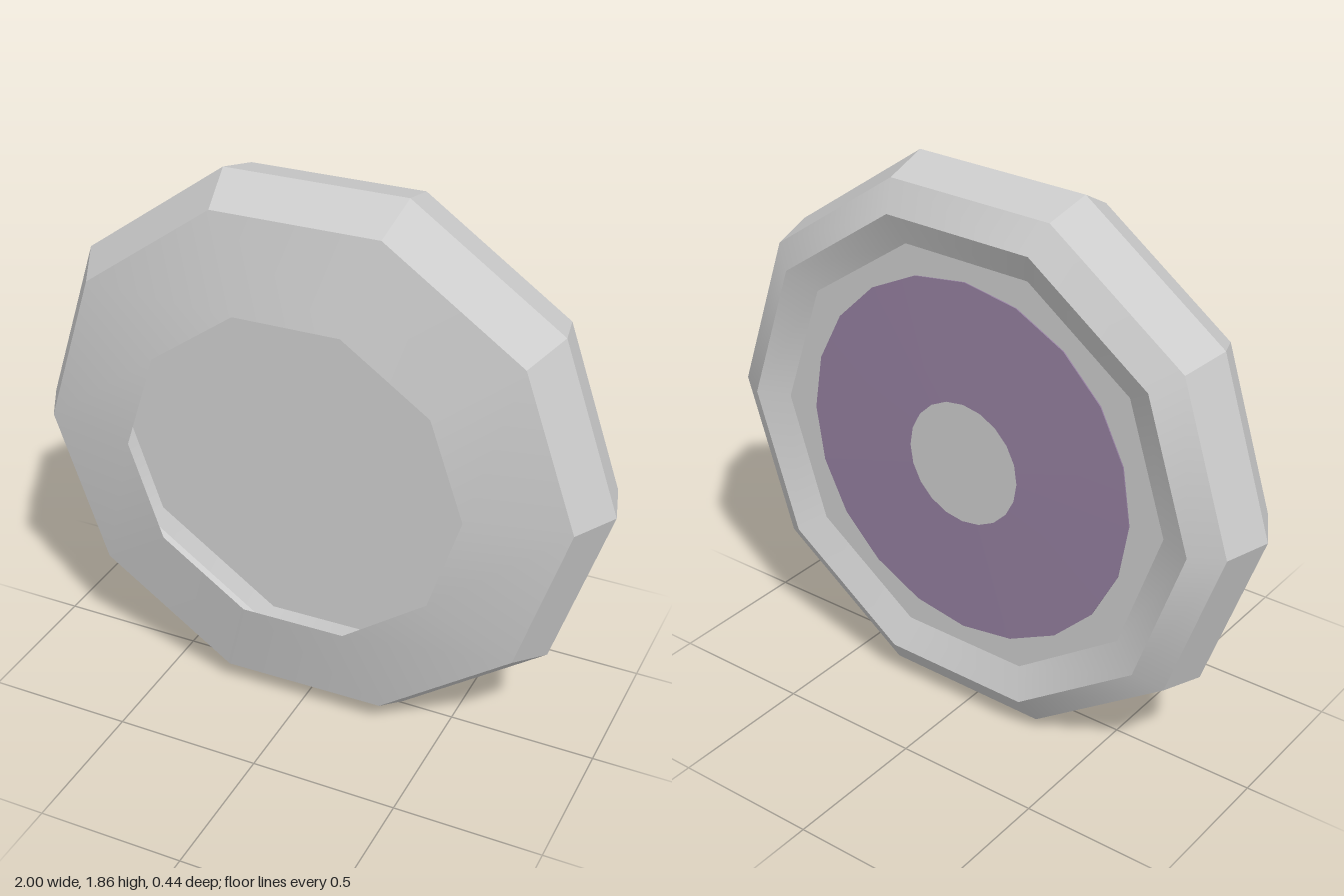
import * as THREE from 'three';

const TILT = THREE.MathUtils.degToRad(90.8); // slight twist of the ten-sided body

export function createModel() {
  const model = new THREE.Group();
  const smooth = new THREE.MeshStandardMaterial({ color: 0xcccccc, side: THREE.DoubleSide });
  const faceted = new THREE.MeshStandardMaterial({ color: 0xcccccc, side: THREE.DoubleSide, flatShading: true });
  const purple = new THREE.MeshStandardMaterial({ color: 0x947f9f, side: THREE.DoubleSide });

  // Revolves [radius, z] points around the z axis
  function turned(name, parent, points, sides, material) {
    const profile = points.map(([r, z]) => new THREE.Vector2(r, z));
    const geometry = new THREE.LatheGeometry(profile, sides, TILT);
    geometry.rotateX(Math.PI / 2);
    const mesh = new THREE.Mesh(geometry, material);
    mesh.name = name;
    parent.add(mesh);
  }

  // Ten-sided shell, slightly flattened in height
  const body = new THREE.Group();
  body.name = 'body';
  body.scale.y = 0.975;
  body.position.y = 0.93;
  model.add(body);

  turned('backPlate', body, [[0, -0.172], [0.745, -0.172]], 10, smooth);
  turned('backRecessWall', body, [[0.745, -0.172], [0.855, -0.22]], 10, smooth);
  turned('backBevel', body, [[0.855, -0.22], [0.955, -0.16]], 10, smooth);
  turned('rearSide', body, [[0.955, -0.16], [1, 0]], 10, faceted);
  turned('frontSide', body, [[1, 0], [0.915, 0.15]], 10, faceted);
  turned('frontRing', body, [[0.915, 0.15], [0.585, 0.22]], 10, smooth);
  // Floor seen through the front opening
  turned('innerFloor', body, [[0.87, -0.165], [0, -0.165]], 10, smooth);

  // Coloured ring and hub set on the back plate
  const emblem = new THREE.Group();
  emblem.name = 'backDisc';
  emblem.position.y = 0.93;
  model.add(emblem);
  turned('colouredRing', emblem, [[0.212, -0.182], [0.625, -0.176]], 20, purple);
  turned('ringEdge', emblem, [[0.625, -0.176], [0.625, -0.17]], 20, purple);
  turned('hub', emblem, [[0, -0.183], [0.212, -0.183]], 20, smooth);

  return model;
}
